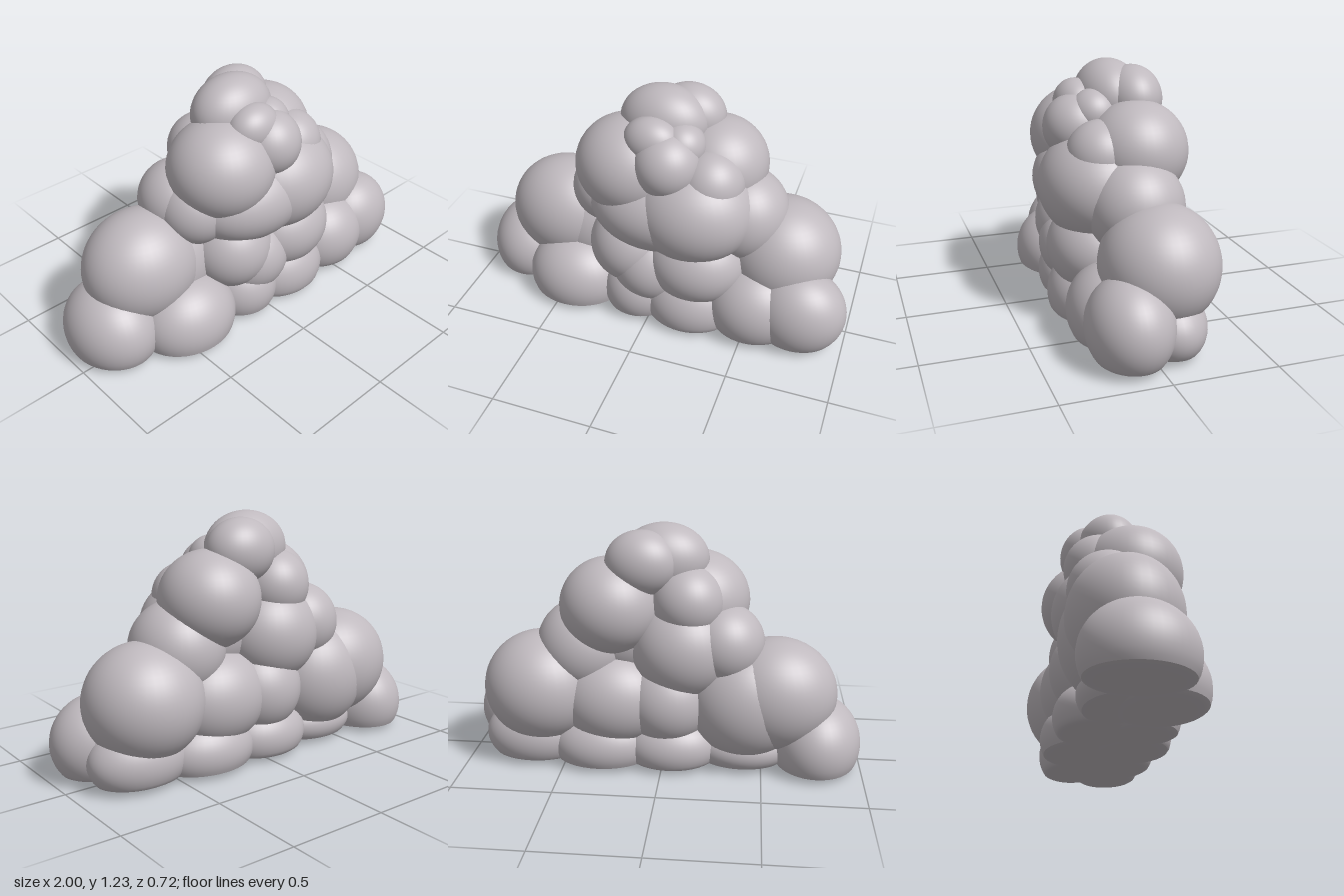
import * as THREE from 'three';
import { toCreasedNormals } from 'three/addons/utils/BufferGeometryUtils.js';

const FLOOR = 0.03;

// One ellipsoid puff; everything below the floor is squashed into a shallow base.
function puffGeometry([x, y, z, rx, ry = rx, rz = rx]) {
  const geo = new THREE.SphereGeometry(1, 40, 28);
  geo.scale(rx, ry, rz).translate(x, y, z);
  const p = geo.attributes.position;
  let squashed = false;
  for (let i = 0; i < p.count; i++) {
    const h = p.getY(i);
    if (h < FLOOR) {
      p.setY(i, Math.max(0, FLOOR + 0.19 * (h - FLOOR)));
      squashed = true;
    }
  }
  return squashed ? toCreasedNormals(geo, 0.6) : geo;
}

// Each puff: centre x, y, z, then radii.
const puffs = {
  topPuff: [
    [0, 1.05, -0.04, 0.22, 0.18, 0.165],
    [0.1, 1.05, -0.13, 0.18, 0.16, 0.145],
    [-0.01, 1.02, 0.12, 0.14, 0.12, 0.11],
    [0.12, 0.99, 0.07, 0.12],
  ],
  upperPuff: [
    [-0.15, 0.83, 0.05, 0.27, 0.25, 0.26],
    [0.26, 0.83, -0.1, 0.25, 0.24, 0.245],
    [0.07, 0.92, 0.14, 0.165],
    [0.27, 0.82, 0.08, 0.17],
    [-0.12, 0.86, -0.11, 0.18],
  ],
  middlePuff: [
    [0.19, 0.66, 0.08, 0.315, 0.27, 0.28],
    [0, 0.635, 0.07, 0.345, 0.23, 0.265],
    [0.41, 0.6, -0.04, 0.235, 0.24, 0.235],
    [-0.1, 0.62, -0.1, 0.26, 0.25, 0.24],
    [-0.3, 0.65, -0.1, 0.2],
    [-0.28, 0.64, 0, 0.19],
  ],
  sidePuff: [
    [0.62, 0.39, -0.08, 0.295, 0.285, 0.28],
    [-0.56, 0.39, -0.08, 0.305, 0.285, 0.265],
    [-0.41, 0.35, -0.1, 0.29, 0.29, 0.25],
  ],
  lowerPuff: [
    [-0.13, 0.38, 0.08, 0.22],
    [-0.02, 0.29, 0.1, 0.21],
    [0.22, 0.36, 0.1, 0.26, 0.22, 0.23],
    [0.25, 0.35, -0.11, 0.28, 0.24, 0.225],
    [-0.02, 0.35, -0.1, 0.23],
  ],
  basePuff: [
    [0.76, 0.18, 0.11, 0.24, 0.23, 0.2],
    [0.53, 0.16, 0.1, 0.25, 0.23, 0.225],
    [0.2, 0.11, 0.11, 0.25, 0.21, 0.215],
    [-0.08, 0.12, 0.1, 0.2],
    [-0.44, 0.11, 0.1, 0.265, 0.23, 0.23],
    [-0.77, 0.13, -0.07, 0.225, 0.24, 0.26],
    [0.66, 0.13, -0.09, 0.26, 0.18, 0.185],
    [0.31, 0.11, -0.11, 0.27, 0.18, 0.21],
    [-0.04, 0.11, -0.11, 0.25, 0.17, 0.2],
    [-0.4, 0.1, -0.08, 0.25, 0.13, 0.18],
  ],
};

export function createModel() {
  const cloudGrey = new THREE.MeshStandardMaterial({ color: 0xbfb9be });
  cloudGrey.name = 'cloudGrey';

  const cloud = new THREE.Group();
  cloud.name = 'cloud';
  for (const [name, list] of Object.entries(puffs)) {
    const layer = new THREE.Group();
    layer.name = name + 's';
    list.forEach((puff, i) => {
      const mesh = new THREE.Mesh(puffGeometry(puff), cloudGrey);
      mesh.name = name + (i + 1);
      layer.add(mesh);
    });
    cloud.add(layer);
  }
  return cloud;
}
